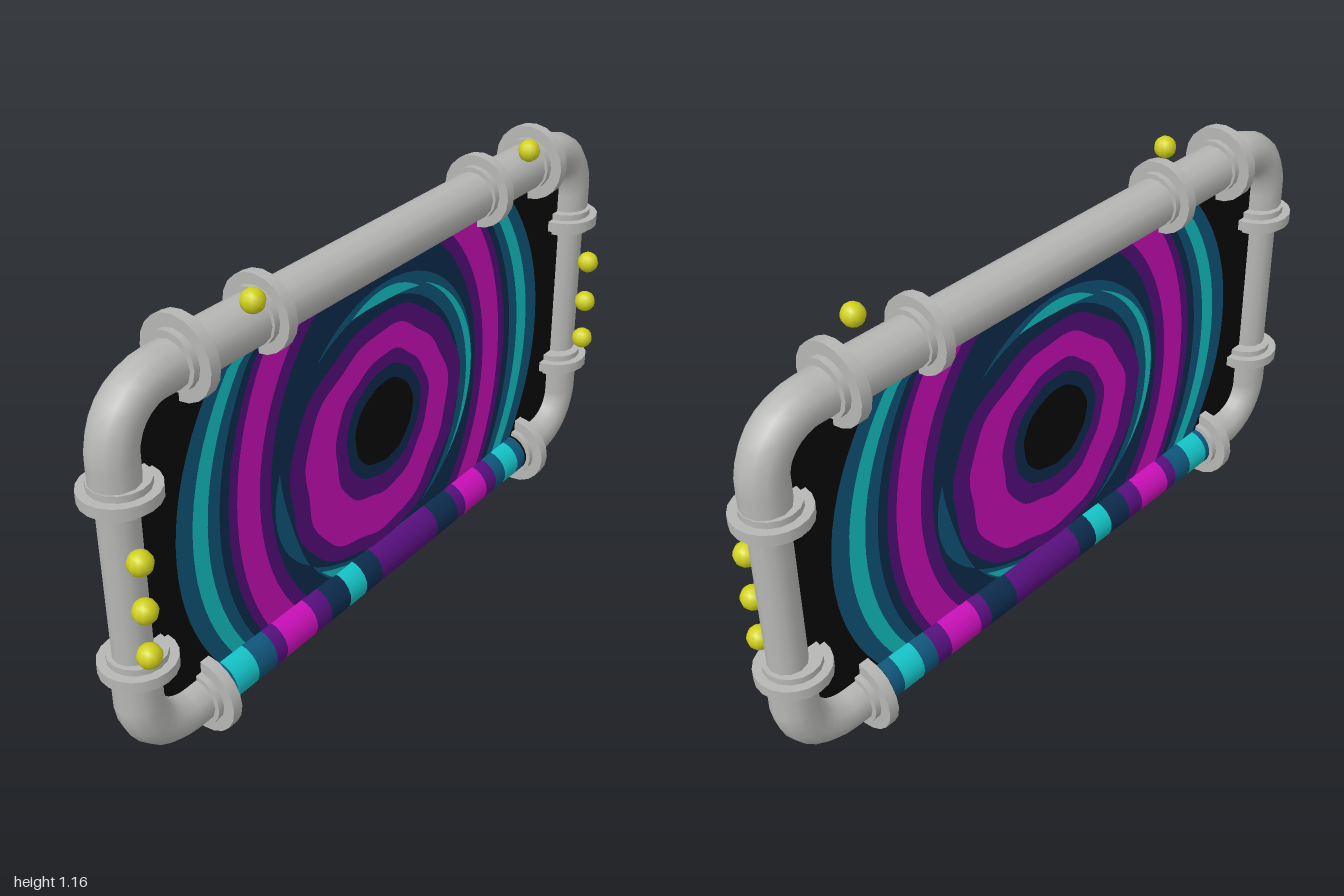
import * as THREE from 'three';

const mat = (name, color) => {
  const m = new THREE.MeshStandardMaterial({ color });
  m.name = name;
  return m;
};

export function createModel() {
  const metal = mat('pipe grey', 0xb6b6b4);
  const yellow = mat('bulb yellow', 0xd0d01c);
  const black = mat('black', 0x090909);
  const teal = mat('deep teal', 0x0f567c);
  const cyan = mat('cyan', 0x14c4c8);
  const navy = mat('navy', 0x0c2b4d);
  const purple = mat('purple', 0x570f7e);
  const magenta = mat('magenta', 0xca0fb8);

  const model = new THREE.Group();
  model.name = 'pipeFramedPortal';
  const add = (parent, name, geo, material, x = 0, y = 0, z = 0) => {
    const m = new THREE.Mesh(geo, material);
    m.name = name;
    m.position.set(x, y, z);
    parent.add(m);
    return m;
  };

  // Panel
  const top = 0.965, bottom = 0.08;
  add(model, 'panel', new THREE.BoxGeometry(1.76, top - bottom, 0.005), black, 0, (top + bottom) / 2, 0);

  // Swirl face: ovals clipped to the panel height, stacked as very thin layers
  const face = new THREE.Group();
  face.name = 'swirlFront';
  const clip = (x, y) => new THREE.Vector2(x, THREE.MathUtils.clamp(y, bottom, top));
  let layer = 0;
  const plate = (name, pts, material) =>
    add(face, name, new THREE.ShapeGeometry(new THREE.Shape(pts)), material, 0, 0, 0.0032 + 0.0005 * layer++);
  const oval = (name, cx, cy, a, b, material, wobble = 0) => {
    const pts = [];
    for (let i = 0; i < 96; i++) {
      const t = (i / 96) * Math.PI * 2;
      const k = 1 + wobble * (Math.sin(5 * t + 1) + 0.6 * Math.sin(11 * t));
      pts.push(clip(cx + a * k * Math.cos(t), cy + b * k * Math.sin(t)));
    }
    plate(name, pts, material);
  };
  // Tapered streak following an oval between two angles in degrees
  const streak = (name, a, b, width, from, to, material) => {
    const outer = [], inner = [];
    for (let i = 0; i <= 28; i++) {
      const t = THREE.MathUtils.degToRad(from + ((to - from) * i) / 28);
      const w = (width / 2) * Math.sin((Math.PI * (i + 0.3)) / 28.6);
      outer.push(clip((a + w) * Math.cos(t), 0.53 + (b + w) * Math.sin(t)));
      inner.unshift(clip((a - w) * Math.cos(t), 0.53 + (b - w) * Math.sin(t)));
    }
    plate(name, [...outer, ...inner], material);
  };

  [[0.765, 0.70, teal], [0.71, 0.69, cyan], [0.66, 0.68, teal], [0.62, 0.68, navy], [0.59, 0.675, purple],
    [0.56, 0.67, magenta], [0.48, 0.57, purple], [0.44, 0.53, navy]]
    .forEach(([a, b, m]) => oval('outerRing', 0, 0.53, a, b, m));
  streak('tealStreakRight', 0.39, 0.39, 0.07, -60, 130, teal);
  streak('tealStreakLeft', 0.41, 0.41, 0.05, 172, 222, teal);
  streak('tealStreakLow', 0.41, 0.41, 0.06, 225, 290, teal);
  streak('cyanStreakRight', 0.405, 0.39, 0.025, -40, 62, cyan);
  streak('cyanStreakTop', 0.39, 0.38, 0.035, 66, 108, cyan);
  streak('cyanStreakLow', 0.42, 0.41, 0.035, 232, 270, cyan);
  oval('purpleRing', -0.01, 0.51, 0.365, 0.35, purple, 0.015);
  oval('magentaRing', -0.01, 0.505, 0.305, 0.305, magenta, 0.022);
  oval('innerPurpleRing', 0.005, 0.53, 0.2, 0.21, purple, 0.02);
  oval('navyRing', 0.01, 0.54, 0.16, 0.16, navy, 0.01);
  oval('darkCentre', 0.01, 0.54, 0.125, 0.12, black, 0.012);
  model.add(face);
  const back = face.clone();
  back.name = 'swirlBack';
  back.rotation.y = Math.PI;
  model.add(back);

  // Bottom pipe: bands of colour above a black underside
  const bands = [[-0.69, teal], [-0.65, cyan], [-0.57, teal], [-0.5, purple], [-0.46, magenta], [-0.34, purple],
    [-0.28, navy], [-0.2, cyan], [-0.13, navy], [-0.06, purple], [0.2, navy], [0.3, purple], [0.34, magenta],
    [0.45, purple], [0.5, teal], [0.55, cyan], [0.62, teal], [0.66, black], [0.69, null]];
  const down = 1.5 * Math.PI;
  for (let i = 0; i < bands.length - 1; i++) {
    const [x, m] = bands[i];
    const len = bands[i + 1][0] - x;
    add(model, 'bottomPipeBand', new THREE.CylinderGeometry(0.06, 0.06, len, 14, 1, true, down + 0.75, Math.PI * 2 - 1.5),
      m, x + len / 2, 0.105, 0).rotation.z = Math.PI / 2;
  }
  add(model, 'bottomPipeUnderside', new THREE.CylinderGeometry(0.06, 0.06, 1.38, 5, 1, true, down - 0.75, 1.5),
    black, 0, 0.105, 0).rotation.z = Math.PI / 2;

  // Grey straight pipes
  add(model, 'topPipe', new THREE.CylinderGeometry(0.065, 0.065, 1.4, 14), metal, 0, 1.04, 0).rotation.z = Math.PI / 2;

  // Collar: wide disc on a narrower hub
  const collar = (name, x, y, radius, sideways) => {
    const g = new THREE.Group();
    g.name = name;
    add(g, 'collarDisc', new THREE.CylinderGeometry(radius, radius, 0.03, 20), metal);
    add(g, 'collarHub', new THREE.CylinderGeometry(0.073, 0.073, 0.065, 16), metal);
    g.position.set(x, y, 0);
    if (sideways) g.rotation.z = Math.PI / 2;
    model.add(g);
  };

  // Elbow: short run, bend, short run
  const elbow = (s, yPipe, yEnd) => {
    const v = (x, y) => new THREE.Vector3(s * x, y, 0);
    const dir = Math.sign(yEnd - yPipe);
    const path = new THREE.CurvePath();
    const a = v(0.79, yPipe), b = v(0.916, yPipe + dir * 0.126);
    path.add(new THREE.LineCurve3(v(0.69, yPipe), a));
    path.add(new THREE.QuadraticBezierCurve3(a, v(0.9, yPipe + dir * 0.016), b));
    path.add(new THREE.LineCurve3(b, v(0.916, yEnd)));
    add(model, 'elbow', new THREE.TubeGeometry(path, 14, 0.06, 12), metal);
  };

  for (const s of [-1, 1]) {
    add(model, 'sidePipe', new THREE.CylinderGeometry(0.049, 0.049, 0.48, 12), metal, s * 0.918, 0.577, 0);
    elbow(s, 1.04, 0.8);
    elbow(s, 0.105, 0.35);
    collar('topOuterCollar', s * 0.7, 1.045, 0.105, true);
    collar('topInnerCollar', s * 0.442, 1.045, 0.1, true);
    collar('bottomCollar', s * 0.7, 0.105, 0.105, true);
    collar('upperSideCollar', s * 0.905, 0.81, 0.095, false);
    collar('lowerSideCollar', s * 0.905, 0.343, 0.095, false);
    for (const y of [0.67, 0.54, 0.415])
      add(model, 'sideBulb', new THREE.SphereGeometry(0.031, 10, 8), yellow, s * 0.935, y, 0.074);
    add(model, 'topBulb', new THREE.SphereGeometry(0.03, 10, 8), yellow, s < 0 ? -0.535 : 0.575, 1.13, 0.066);
  }
  return model;
}
